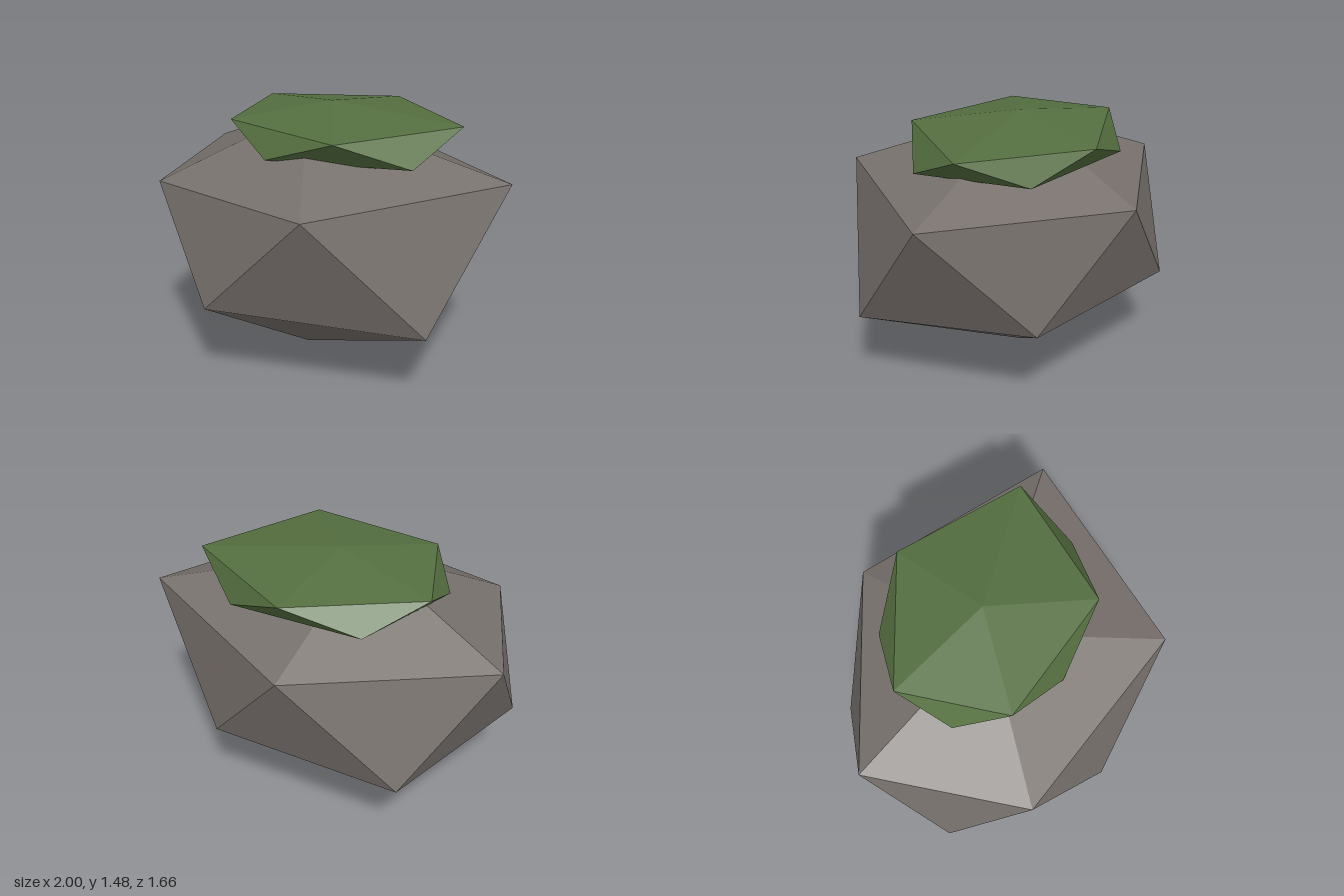
import * as THREE from 'three';

// Irregular twenty-sided stone: top point, upper ring, lower ring, bottom point.
// Rings run from +x towards +z; lower[i] sits between upper[i] and upper[i + 1].
function facetedStone(top, upper, lower, bottom) {
  const n = upper.length;
  const corners = [];
  for (let i = 0; i < n; i++) {
    const j = (i + 1) % n;
    corners.push(
      top, upper[j], upper[i],
      upper[i], upper[j], lower[i],
      lower[i], upper[j], lower[j],
      bottom, lower[i], lower[j]
    );
  }
  const geometry = new THREE.BufferGeometry();
  geometry.setAttribute('position', new THREE.Float32BufferAttribute(corners.flat(), 3));
  geometry.computeVertexNormals(); // unshared corners give flat facets
  return geometry;
}

export function createModel() {
  const stone = new THREE.MeshStandardMaterial({ color: 0x78716d });
  stone.name = 'stone grey';
  const green = new THREE.MeshStandardMaterial({ color: 0x556f40 });
  green.name = 'moss green';
  stone.flatShading = green.flatShading = true;

  // Boulder
  const boulder = new THREE.Mesh(facetedStone(
    [-0.15, 1.44, -0.04],
    [[0.995, 1.15, -0.04], [0.18, 1.13, 0.83], [-0.86, 1.06, 0.38], [-0.92, 1.08, -0.51], [0.15, 1.1, -0.83]],
    [[0.72, 0.45, 0.49], [-0.44, 0.5, 0.69], [-1, 0.53, -0.04], [-0.45, 0.49, -0.8], [0.58, 0.5, -0.49]],
    [-0.16, 0, -0.04]
  ), stone);
  boulder.name = 'boulder';

  // Flattened moss cushion resting on the boulder
  const moss = new THREE.Mesh(facetedStone(
    [-0.03, 1.48, -0.1],
    [[0.71, 1.41, -0.1], [0.19, 1.405, 0.445], [-0.51, 1.395, 0.18], [-0.54, 1.395, -0.41], [0.18, 1.4, -0.615]],
    [[0.54, 1.25, 0.23], [-0.22, 1.255, 0.37], [-0.61, 1.265, -0.1], [-0.23, 1.26, -0.6], [0.48, 1.255, -0.4]],
    [-0.03, 1.17, -0.1]
  ), green);
  moss.name = 'mossCap';

  const group = new THREE.Group();
  group.name = 'mossyRock';
  group.add(boulder, moss);
  return group;
}
